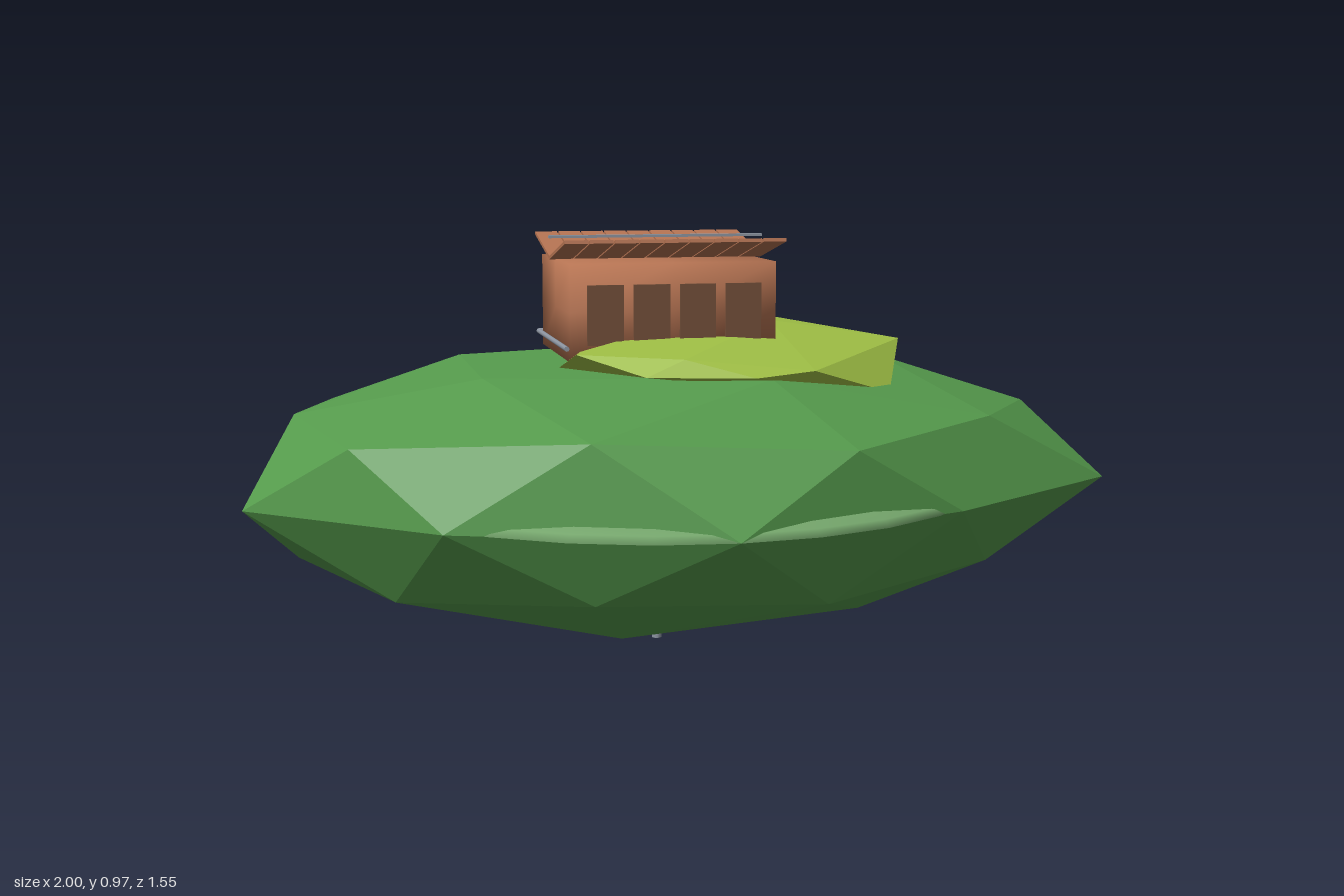
import * as THREE from 'three';
import { ConvexGeometry } from 'three/addons/geometries/ConvexGeometry.js';
import { mergeVertices } from 'three/addons/utils/BufferGeometryUtils.js';

const mat = (name, color) => {
  const m = new THREE.MeshStandardMaterial({ color });
  m.name = name;
  return m;
};

export function createModel() {
  const model = new THREE.Group();
  model.name = 'hillHouse';
  const hillGreen = mat('hillGreen', 0x559a4c);
  const paleGreen = mat('paleGreen', 0x74a56b);
  const lawnGreen = mat('lawnGreen', 0x9fbf45);
  const brick = mat('brick', 0xb57352);
  const doorBrown = mat('doorBrown', 0x74503a);
  const steel = mat('steel', 0x8e96a2);
  const hoseGreen = mat('hoseGreen', 0x55985a);

  const add = (name, geometry, material, x = 0, y = 0, z = 0, parent = model) => {
    const mesh = new THREE.Mesh(geometry, material);
    mesh.name = name;
    mesh.position.set(x, y, z);
    parent.add(mesh);
    return mesh;
  };
  const vec = ([x, y, z]) => new THREE.Vector3(x, y, z);

  // Faceted hill: poles, an uneven equator, two shoulder points and rings of five
  const hill = [
    [-0.03, 0.72, 0], [-0.03, 0.078, 0],
    [-1, 0.4, 0.23], [-0.95, 0.4, -0.22], [-0.67, 0.4, -0.65], [-0.03, 0.4, -0.78], [0.59, 0.4, -0.65],
    [0.88, 0.4, -0.23], [1, 0.4, 0.25], [0.52, 0.4, 0.57], [-0.03, 0.4, 0.775], [-0.6, 0.4, 0.57],
    [0.27, 0.56, -0.7], [-0.31, 0.59, 0.655],
  ];
  // radius, height, first angle in degrees
  const rings = [
    [0.526, 0.675, 0], [0.88, 0.555, 0], [0.81, 0.575, 36],
    [0.81, 0.24, 36], [0.77, 0.21, 0], [0.505, 0.106, 36],
  ];
  for (const [r, y, start] of rings) {
    for (let k = 0; k < 5; k++) {
      const a = THREE.MathUtils.degToRad(start + 72 * k);
      hill.push([-0.03 + 1.05 * r * Math.cos(a), y, 0.775 * r * Math.sin(a)]);
    }
  }
  add('hill', new ConvexGeometry(hill.map(vec)), hillGreen);

  // Shallow round ledge showing at the hill's rim
  const dome = new THREE.SphereGeometry(0.775, 28, 8, 0, Math.PI * 2, 0, Math.PI / 2);
  dome.scale(1, 0.1, 1);
  add('ledge', dome, paleGreen, -0.03, 0.4, 0);
  const base = new THREE.CircleGeometry(0.775, 28);
  base.rotateX(Math.PI / 2);
  add('ledgeBase', base, paleGreen, -0.03, 0.4, 0);

  // Faceted lawn on top
  const lawn = [
    [0.22, 0.775, 0.08], [0.18, 0.787, -0.04], [-0.08, 0.76, 0.12], [0.54, 0.725, 0.08],
    [0.25, 0.725, -0.24], [0.39, 0.722, -0.19], [0.49, 0.722, -0.08], [0.24, 0.69, 0.385],
    [-0.28, 0.73, 0.31], [-0.05, 0.72, 0.365], [-0.3, 0.69, 0.2], [-0.14, 0.685, 0.385], [0.1, 0.68, 0.408],
    [0.45, 0.623, 0.28], [0, 0.66, 0.3], [0.45, 0.645, -0.1], [0.47, 0.645, 0], [-0.18, 0.71, -0.08],
  ];
  add('lawn', new ConvexGeometry(lawn.map(vec)), lawnGreen);

  // Pin under the hill
  add('pin', new THREE.CylinderGeometry(0.012, 0.012, 0.12, 10), steel, -0.035, 0.06, 0);

  // House walls, shaded softly across the corners
  const house = new THREE.Group();
  house.name = 'house';
  model.add(house);
  let walls = new THREE.BoxGeometry(0.475, 0.22, 0.405, 2, 2, 2);
  walls.deleteAttribute('normal');
  walls.deleteAttribute('uv');
  walls = mergeVertices(walls);
  walls.clearGroups();
  walls.computeVertexNormals();
  add('walls', walls, brick, -0.0375, 0.81, 0, house);

  // Four front doors
  for (let i = 0; i < 4; i++) {
    add('door', new THREE.BoxGeometry(0.083, 0.135, 0.008), doorBrown, -0.195 + i * 0.106, 0.805, 0.204, house);
  }

  // Butterfly roof of planks rising to both eaves
  const tilt = Math.atan2(0.047, 0.222);
  const length = Math.hypot(0.047, 0.222);
  for (const side of [1, -1]) {
    for (let i = 0; i < 9; i++) {
      const plank = add('roofPlank', new THREE.BoxGeometry(0.053, 0.008, length), brick,
        -0.262 + i * 0.0567, 0.946, side * 0.111, house);
      plank.rotation.x = -side * tilt;
    }
  }
  add('ridgeRail', new THREE.BoxGeometry(0.51, 0.006, 0.02), steel, -0.035, 0.971, 0, house);

  // Pipe around the back and one side
  const backPipe = add('backPipe', new THREE.CylinderGeometry(0.006, 0.006, 0.5, 8), steel, -0.035, 0.732, -0.209, house);
  backPipe.rotation.z = Math.PI / 2;
  const sidePipe = add('sidePipe', new THREE.CylinderGeometry(0.006, 0.006, 0.42, 8), steel, -0.284, 0.732, 0, house);
  sidePipe.rotation.x = Math.PI / 2;

  // Tap and coiled garden hose
  const tap = add('tap', new THREE.CylinderGeometry(0.004, 0.004, 0.008, 8), steel, 0.2, 0.832, 0.01, house);
  tap.rotation.z = Math.PI / 2;
  for (let i = 0; i < 2; i++) {
    const coil = add('hoseCoil', new THREE.TorusGeometry(0.036 - i * 0.006, 0.005, 6, 16), hoseGreen,
      0.22, 0.772 + i * 0.007, -0.05, house);
    coil.rotation.x = Math.PI / 2;
  }
  return model;
}
